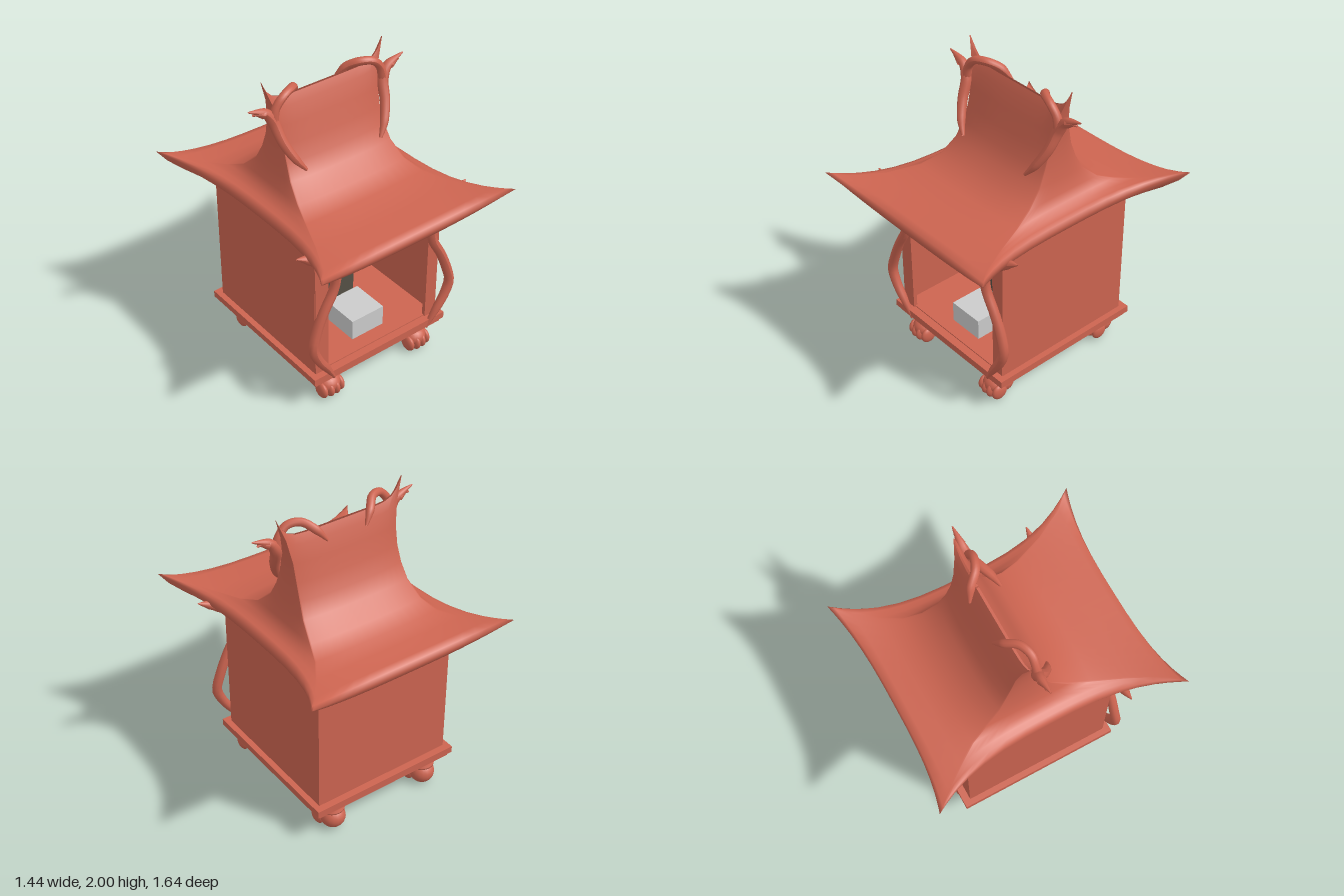
import * as THREE from 'three';

const red = new THREE.MeshStandardMaterial({ color: 0xcc6450, side: THREE.DoubleSide });
const dark = new THREE.MeshStandardMaterial({ color: 0x555045 });
const grey = new THREE.MeshStandardMaterial({ color: 0xcccccc });

function add(parent, name, geometry, material = red) {
  const mesh = new THREE.Mesh(geometry, material);
  mesh.name = name;
  parent.add(mesh);
  return mesh;
}

// Box given by its minimum and maximum on each axis
function block(parent, name, x0, x1, y0, y1, z0, z1, material) {
  const mesh = add(parent, name, new THREE.BoxGeometry(x1 - x0, y1 - y0, z1 - z0), material);
  mesh.position.set((x0 + x1) / 2, (y0 + y1) / 2, (z0 + z1) / 2);
  return mesh;
}

// Curved branch whose radius follows a list of values from start to end
function branch(parent, name, points, radii, side) {
  const curve = new THREE.CatmullRomCurve3(
    points.map(([x, y, z]) => new THREE.Vector3(x * side, y, z)), false, 'centripetal');
  const n = 28, sides = 10;
  const geometry = new THREE.TubeGeometry(curve, n, 1, sides);
  const pos = geometry.attributes.position;
  const v = new THREE.Vector3();
  for (let i = 0; i <= n; i++) {
    const centre = curve.getPointAt(i / n);
    const f = (i / n) * (radii.length - 1), k = Math.min(Math.floor(f), radii.length - 2);
    const r = THREE.MathUtils.lerp(radii[k], radii[k + 1], f - k);
    for (let j = 0; j <= sides; j++) {
      const id = i * (sides + 1) + j;
      v.fromBufferAttribute(pos, id).sub(centre).multiplyScalar(r).add(centre);
      pos.setXYZ(id, v.x, v.y, v.z);
    }
  }
  geometry.computeVertexNormals();
  return add(parent, name, geometry);
}

// Roof lofted through four-sided rings with flared corners.
// Row: half width mid, corner; half depth mid, corner; height mid, corner; z centre
function roofGeometry() {
  const rows = [
    [0, 0, 0, 0, 1.14, 1.14, 0],
    [0.47, 0.5, 0.62, 0.62, 1.14, 1.14, 0],
    [0.5, 0.6, 0.7, 0.7, 1.142, 1.165, 0],
    [0.525, 0.675, 0.735, 0.77, 1.16, 1.225, 0],
    [0.535, 0.72, 0.745, 0.82, 1.195, 1.283, 0],
    [0.525, 0.69, 0.735, 0.785, 1.228, 1.28, 0],
    [0.5, 0.62, 0.69, 0.71, 1.238, 1.262, 0],
    [0.47, 0.52, 0.55, 0.55, 1.247, 1.25, -0.03],
    [0.435, 0.44, 0.41, 0.39, 1.272, 1.265, -0.07],
    [0.405, 0.4, 0.3, 0.27, 1.32, 1.31, -0.08],
    [0.385, 0.375, 0.2, 0.17, 1.41, 1.4, -0.08],
    [0.372, 0.362, 0.145, 0.12, 1.5, 1.5, -0.08],
    [0.365, 0.358, 0.105, 0.085, 1.6, 1.6, -0.08],
    [0.367, 0.362, 0.07, 0.058, 1.71, 1.72, -0.082],
    [0.39, 0.387, 0.035, 0.03, 1.81, 1.86, -0.084],
    [0.435, 0.435, 0.008, 0.003, 1.862, 2.0, -0.085]
  ];
  const n = 16, ring = [];
  const corners = [[1, -1], [1, 1], [-1, 1], [-1, -1]];
  for (let c = 0; c < 4; c++) {
    const a = corners[c], b = corners[(c + 1) % 4];
    for (let i = 0; i < n; i++) {
      // points gather toward the corners
      const f = 0.5 - 0.5 * Math.cos((Math.PI * i) / n);
      ring.push([a[0] + (b[0] - a[0]) * f, a[1] + (b[1] - a[1]) * f]);
    }
  }
  const positions = [], index = [], count = ring.length;
  rows.forEach(([xm, xc, zm, zc, ym, yc, cz], r) => {
    const ridge = r >= rows.length - 3;
    for (const [s, t] of ring) {
      const ws = Math.abs(s) ** 3, wt = Math.abs(t) ** 3;
      const rise = ridge ? Math.abs(s) ** 9 : ws * wt;
      positions.push(s * (xm + (xc - xm) * wt), ym + (yc - ym) * rise, cz + t * (zm + (zc - zm) * ws));
    }
    if (r === 0) return;
    for (let i = 0; i < count; i++) {
      const j = (i + 1) % count, lo = (r - 1) * count, hi = r * count;
      index.push(lo + i, hi + i, lo + j, lo + j, hi + i, hi + j);
    }
  });
  const geometry = new THREE.BufferGeometry();
  geometry.setAttribute('position', new THREE.Float32BufferAttribute(positions, 3));
  geometry.setIndex(index);
  geometry.computeVertexNormals();
  return geometry;
}

// Clawed foot facing +z, standing on y = 0
function makeFoot(parent, x, z) {
  const foot = new THREE.Group();
  foot.name = 'pawFoot';
  foot.position.set(x, 0, z);
  parent.add(foot);
  const ball = (name, px, py, pz, rx, ry, rz) => {
    const m = add(foot, name, new THREE.SphereGeometry(1, 18, 12));
    m.position.set(px, py, pz);
    m.scale.set(rx, ry, rz);
  };
  ball('pawHeel', 0, 0.075, -0.03, 0.08, 0.075, 0.08);
  ball('pawBack', 0, 0.08, 0.015, 0.082, 0.062, 0.08);
  for (let i = 0; i < 4; i++) {
    const o = i - 1.5;
    ball('toe', o * 0.043, 0.057, 0.058 - Math.abs(o) * 0.012, 0.026, 0.055, 0.056);
  }
  const collar = new THREE.LatheGeometry([[0.06, 0.1], [0.065, 0.13], [0.08, 0.137], [0.082, 0.15], [0.07, 0.158], [0.07, 0.18]]
    .map(([r, y]) => new THREE.Vector2(r, y)), 20);
  add(foot, 'ankleCollar', collar).position.z = -0.02;
}

export function createModel() {
  const model = new THREE.Group();
  model.name = 'shrine';

  // Stepped base
  block(model, 'lowerPlinth', -0.505, 0.49, 0.172, 0.2, -0.56, 0.485);
  block(model, 'upperPlinth', -0.525, 0.51, 0.2, 0.245, -0.578, 0.502);
  for (const x of [-0.355, 0.345]) for (const z of [0.39, -0.465]) makeFoot(model, x, z);

  // Cabinet, open at the front
  block(model, 'floor', -0.475, 0.46, 0.24, 0.252, -0.52, 0.45);
  block(model, 'rightWall', -0.487, -0.465, 0.24, 1.16, -0.53, 0.455);
  block(model, 'leftWall', 0.45, 0.472, 0.24, 1.16, -0.53, 0.455);
  block(model, 'backWall', -0.487, 0.472, 0.24, 1.16, -0.532, -0.51);
  block(model, 'rightPost', -0.485, -0.39, 0.24, 1.16, 0.435, 0.46);
  block(model, 'leftPost', 0.385, 0.47, 0.24, 1.16, 0.435, 0.46);

  // Lintel with a scalloped lower edge
  const edge = new THREE.Shape();
  edge.moveTo(-0.4, 1.16);
  edge.lineTo(-0.4, 1.06);
  edge.quadraticCurveTo(-0.28, 1.08, -0.2, 1.02);
  edge.quadraticCurveTo(-0.14, 0.99, -0.09, 1.02);
  edge.quadraticCurveTo(0, 0.955, 0.09, 1.02);
  edge.quadraticCurveTo(0.14, 0.99, 0.2, 1.02);
  edge.quadraticCurveTo(0.28, 1.08, 0.4, 1.06);
  edge.lineTo(0.4, 1.16);
  const lintel = new THREE.ExtrudeGeometry(edge, { depth: 0.03, bevelEnabled: false, curveSegments: 8 });
  add(model, 'lintel', lintel).position.z = 0.44;

  // Furnishings inside
  block(model, 'innerPanel', -0.163, 0.165, 0.25, 0.77, -0.02, 0.01, dark);
  block(model, 'altarBlock', -0.12, 0.125, 0.25, 0.393, 0.1, 0.355, grey);

  add(model, 'roof', roofGeometry());

  for (const side of [-1, 1]) {
    // Twisted branches framing the opening
    branch(model, 'porchBranch', [[0.37, 0.185, 0.49], [0.43, 0.29, 0.5], [0.5, 0.4, 0.505], [0.535, 0.5, 0.505], [0.505, 0.62, 0.5],
      [0.45, 0.75, 0.5], [0.38, 0.88, 0.5], [0.365, 0.98, 0.5], [0.39, 1.06, 0.5]], [0.012, 0.028, 0.032, 0.032, 0.03, 0.03, 0.036], side);
    branch(model, 'outerTwig', [[0.375, 1.0, 0.5], [0.42, 1.08, 0.5], [0.5, 1.14, 0.5], [0.57, 1.18, 0.49], [0.635, 1.21, 0.49]],
      [0.035, 0.04, 0.04, 0.03, 0.004], side);
    branch(model, 'innerTwig', [[0.42, 1.09, 0.5], [0.35, 1.05, 0.51], [0.28, 1.05, 0.52], [0.2, 1.08, 0.52], [0.085, 1.085, 0.51]],
      [0.03, 0.032, 0.035, 0.025, 0.004], side);
    branch(model, 'lowerTwig', [[0.29, 1.055, 0.52], [0.23, 1.04, 0.52], [0.17, 1.005, 0.51]], [0.03, 0.022, 0.004], side);
    branch(model, 'upperTwig', [[0.35, 1.05, 0.51], [0.33, 1.09, 0.52], [0.37, 1.12, 0.51]], [0.025, 0.018, 0.004], side);

    // Antlers gripping the ridge
    branch(model, 'antlerStem', [[0.275, 1.46, 0.115], [0.325, 1.53, 0.085], [0.375, 1.64, 0.03], [0.4, 1.76, -0.025],
      [0.44, 1.825, -0.035], [0.5, 1.855, -0.035], [0.56, 1.875, -0.035]], [0.01, 0.026, 0.03, 0.033, 0.036, 0.024, 0.004], side);
    branch(model, 'antlerProng', [[0.4, 1.76, -0.025], [0.38, 1.84, -0.025], [0.325, 1.9, -0.025], [0.25, 1.91, -0.055],
      [0.19, 1.87, -0.115], [0.135, 1.8, -0.155]], [0.032, 0.026, 0.025, 0.026, 0.026, 0.008], side);
    branch(model, 'antlerSpur', [[0.46, 1.83, -0.035], [0.505, 1.845, -0.035], [0.53, 1.84, -0.04]], [0.03, 0.018, 0.006], side);
  }

  // Branch stubs under the rear eave
  branch(model, 'rearStub', [[0.27, 1.16, -0.58], [0.25, 1.09, -0.585], [0.22, 1.03, -0.575]], [0.05, 0.042, 0.01], -1);
  branch(model, 'rearStub', [[0.29, 1.16, -0.57], [0.25, 1.12, -0.575], [0.2, 1.095, -0.565]], [0.04, 0.03, 0.008], 1);

  return model;
}
